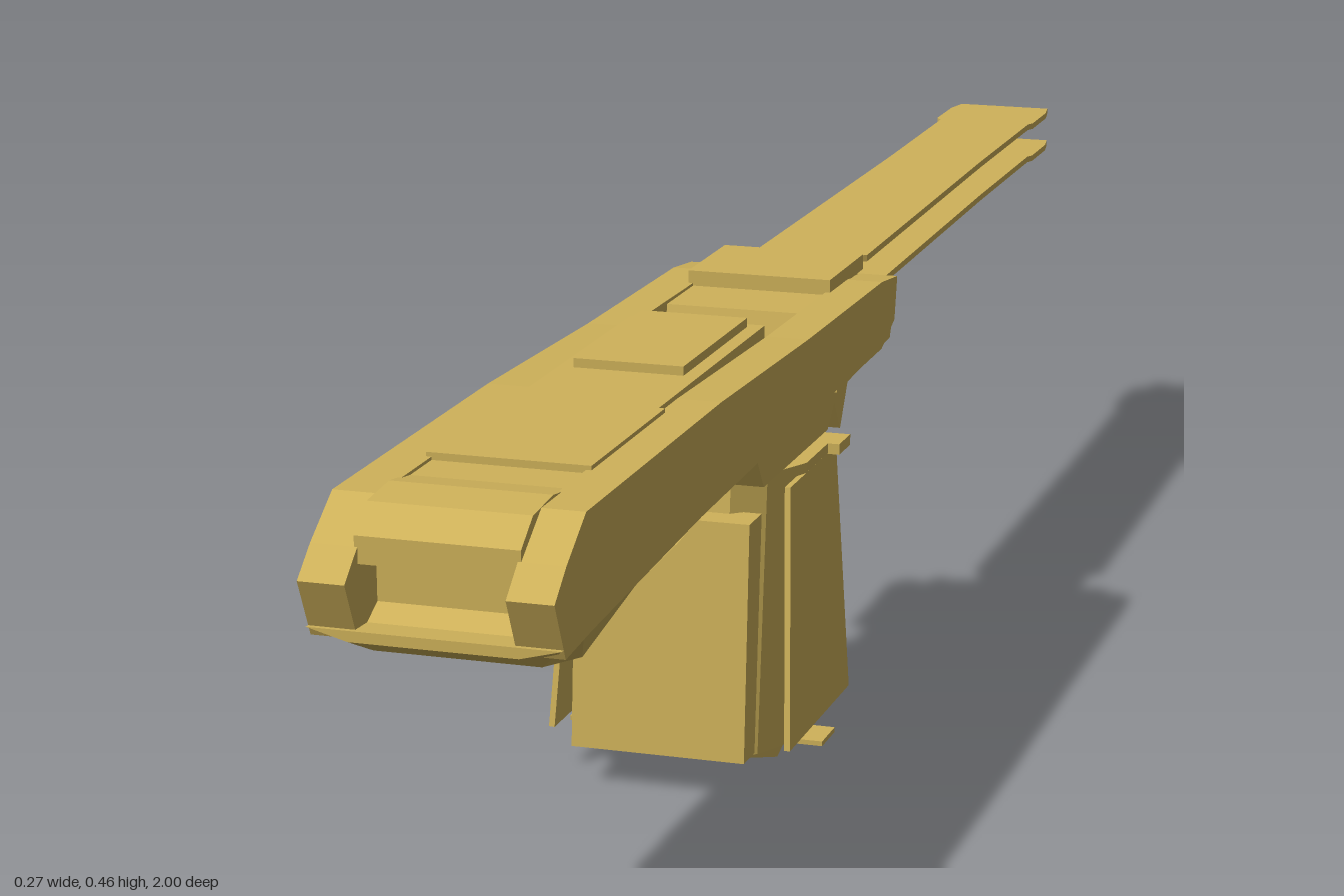
import * as THREE from 'three';

const brass = new THREE.MeshStandardMaterial({ color: 0xcfb25a, flatShading: true, side: THREE.DoubleSide });
brass.name = 'brass';

export function createModel() {
  const model = new THREE.Group();
  model.name = 'handset';

  const add = (name, geo) => {
    const m = new THREE.Mesh(geo, brass);
    m.name = name;
    model.add(m);
    return m;
  };

  // Side profile given as [z, y] points, extruded from x0 to x1
  const slab = (name, pts, x0, x1) => {
    const shape = new THREE.Shape(pts.map(([z, y]) => new THREE.Vector2(z, y)));
    const geo = new THREE.ExtrudeGeometry(shape, { depth: x1 - x0, bevelEnabled: false });
    geo.rotateY(-Math.PI / 2);
    geo.translate(x1, 0, 0);
    return add(name, geo);
  };

  // Box from its limits
  const box = (name, x0, x1, y0, y1, z0, z1) => {
    const geo = new THREE.BoxGeometry(x1 - x0, y1 - y0, z1 - z0);
    geo.translate((x0 + x1) / 2, (y0 + y1) / 2, (z0 + z1) / 2);
    return add(name, geo);
  };

  // Skin over closed rings of [x, y, z], with optional end caps
  const loft = (name, rings, capped = true) => {
    const n = rings[0].length;
    const index = [];
    for (let r = 0; r < rings.length - 1; r++) {
      for (let i = 0; i < n; i++) {
        const a = r * n + i, b = r * n + (i + 1) % n;
        index.push(a, b, b + n, a, b + n, a + n);
      }
    }
    if (capped) {
      const last = (rings.length - 1) * n;
      for (let i = 1; i < n - 1; i++) index.push(0, i + 1, i, last, last + i, last + i + 1);
    }
    const geo = new THREE.BufferGeometry();
    geo.setAttribute('position', new THREE.Float32BufferAttribute(rings.flat(2), 3));
    geo.setIndex(index);
    const flat = geo.toNonIndexed();
    flat.computeVertexNormals();
    return add(name, flat);
  };

  // Long cheeks forming both sides of the body
  const cheek = [[1.0, 0.395], [0.975, 0.34], [0.91, 0.345], [0.61, 0.36], [0.4, 0.365], [0.0, 0.37],
    [-0.05, 0.39], [-0.06, 0.435], [0.0, 0.442], [0.27, 0.445], [0.55, 0.453], [0.92, 0.453], [0.97, 0.42]];
  for (const s of [-1, 1]) {
    slab('cheek', cheek, s < 0 ? -0.115 : 0.072, s < 0 ? -0.072 : 0.115);
  }

  // Core between the cheeks, with a recess near the rear
  slab('core', [[0.96, 0.345], [0.93, 0.36], [0.93, 0.4], [0.97, 0.405], [0.95, 0.43], [0.9, 0.45], [0.6, 0.45], [0.33, 0.44],
    [0.32, 0.4], [0.16, 0.4], [0.15, 0.44], [-0.05, 0.44], [-0.06, 0.39], [0, 0.37], [0.4, 0.36], [0.61, 0.36]], -0.074, 0.074);

  // Chamfered belly under the nose
  const belly = (z, top, bottom) => [[0.115, top, z], [0.077, bottom, z], [-0.077, bottom, z], [-0.115, top, z]];
  loft('belly', [belly(0.985, 0.35, 0.34), belly(0.93, 0.347, 0.315), belly(0.83, 0.35, 0.292),
    belly(0.68, 0.355, 0.315), belly(0.6, 0.362, 0.355)]);

  // Snout visor and raised top panels
  slab('snout', [[0.97, 0.405], [0.97, 0.43], [0.94, 0.452], [0.89, 0.456], [0.85, 0.45]], -0.075, 0.075);
  box('topPanel', -0.077, 0.077, 0.448, 0.457, 0.6, 0.8);
  box('topPanel', -0.055, 0.055, 0.445, 0.465, 0.28, 0.48);
  box('topPanel', -0.07, 0.07, 0.44, 0.456, 0.27, 0.6);
  box('rearPanel', -0.077, 0.077, 0.44, 0.456, -0.06, 0.065);
  box('undersidePlate', -0.08, 0.08, 0.347, 0.362, 0.46, 0.61);

  // Tapering grip with a faceted front
  const gripRing = (y, front, back) => [
    [-0.06, y, front], [0.06, y, front], [0.09, y, front - 0.025], [0.115, y, front - 0.075],
    [0.115, y, back + 0.03], [0.07, y, back], [-0.07, y, back], [-0.115, y, back + 0.03],
    [-0.115, y, front - 0.075], [-0.09, y, front - 0.025]];
  loft('grip', [gripRing(0.04, 0.385, 0.165), gripRing(0.32, 0.35, 0.165)]);
  slab('gripCollar', [[0.4, 0.365], [0.37, 0.32], [0.15, 0.32], [0.1, 0.37]], -0.1, 0.1);
  slab('gripFrontPanel', [[0.405, 0.045], [0.385, 0.285], [0.345, 0.285], [0.37, 0.045]], -0.09, 0.09);
  slab('gripBackPanel', [[0.17, 0.045], [0.145, 0.045], [0.137, 0.28], [0.16, 0.28]], -0.09, 0.09);

  // Flared side panels of the grip
  for (const s of [-1, 1]) {
    const panel = slab('gripSidePanel', [[0.37, 0.05], [0.33, 0.31], [0.17, 0.31], [0.16, 0.05]], -0.003, 0.003);
    panel.rotation.z = s * 0.045;
    panel.position.x = s * 0.126;
    box('baseTab', s < 0 ? -0.135 : 0.083, s < 0 ? -0.083 : 0.135, 0.027, 0.032, 0.24, 0.285);
    box('collarTab', s < 0 ? -0.127 : 0.075, s < 0 ? -0.075 : 0.127, 0.309, 0.32, 0.16, 0.2);
  }

  // Wedge-shaped base of the grip
  slab('gripBase', [[0.38, 0.042], [0.27, 0.005], [0.15, 0.042]], -0.083, 0.083);

  // Rear spurs behind the grip
  slab('lowerSpur', [[0.15, 0.25], [0.08, 0.285], [0.115, 0.34], [0.15, 0.34]], -0.08, 0.08);
  slab('upperSpur', [[0.07, 0.345], [0.035, 0.29], [-0.01, 0.36], [0.05, 0.37]], -0.08, 0.08);
  slab('rearShelf', [[0.15, 0.36], [-0.05, 0.37], [-0.055, 0.38], [0.15, 0.375]], -0.11, 0.11);

  // Small controls on one side
  box('sideTab', -0.137, -0.115, 0.38, 0.41, -0.06, 0.1);
  const knob = add('sideKnob', new THREE.CylinderGeometry(0.018, 0.024, 0.018, 10));
  knob.rotation.z = Math.PI / 2;
  knob.position.set(-0.124, 0.367, 0.17);

  // Twin thin rails running to the back, with clipped ends
  const rail = new THREE.Shape([[-0.05, 0.02], [-0.05, -0.12], [-0.06, -0.13], [-0.056, -0.65], [-0.057, -0.89], [-0.064, -0.9],
    [-0.064, -0.97], [-0.058, -1], [0.055, -1], [0.06, -0.97], [0.06, -0.9], [0.056, -0.89], [0.056, -0.65], [0.062, -0.13],
    [0.05, -0.12], [0.05, 0.02]].map(([x, z]) => new THREE.Vector2(x, z)));
  for (const [name, y] of [['upperRail', 0.439], ['lowerRail', 0.398]]) {
    const geo = new THREE.ExtrudeGeometry(rail, { depth: 0.007, bevelEnabled: false });
    geo.rotateX(Math.PI / 2);
    geo.translate(0, y, 0);
    add(name, geo);
  }

  return model;
}
